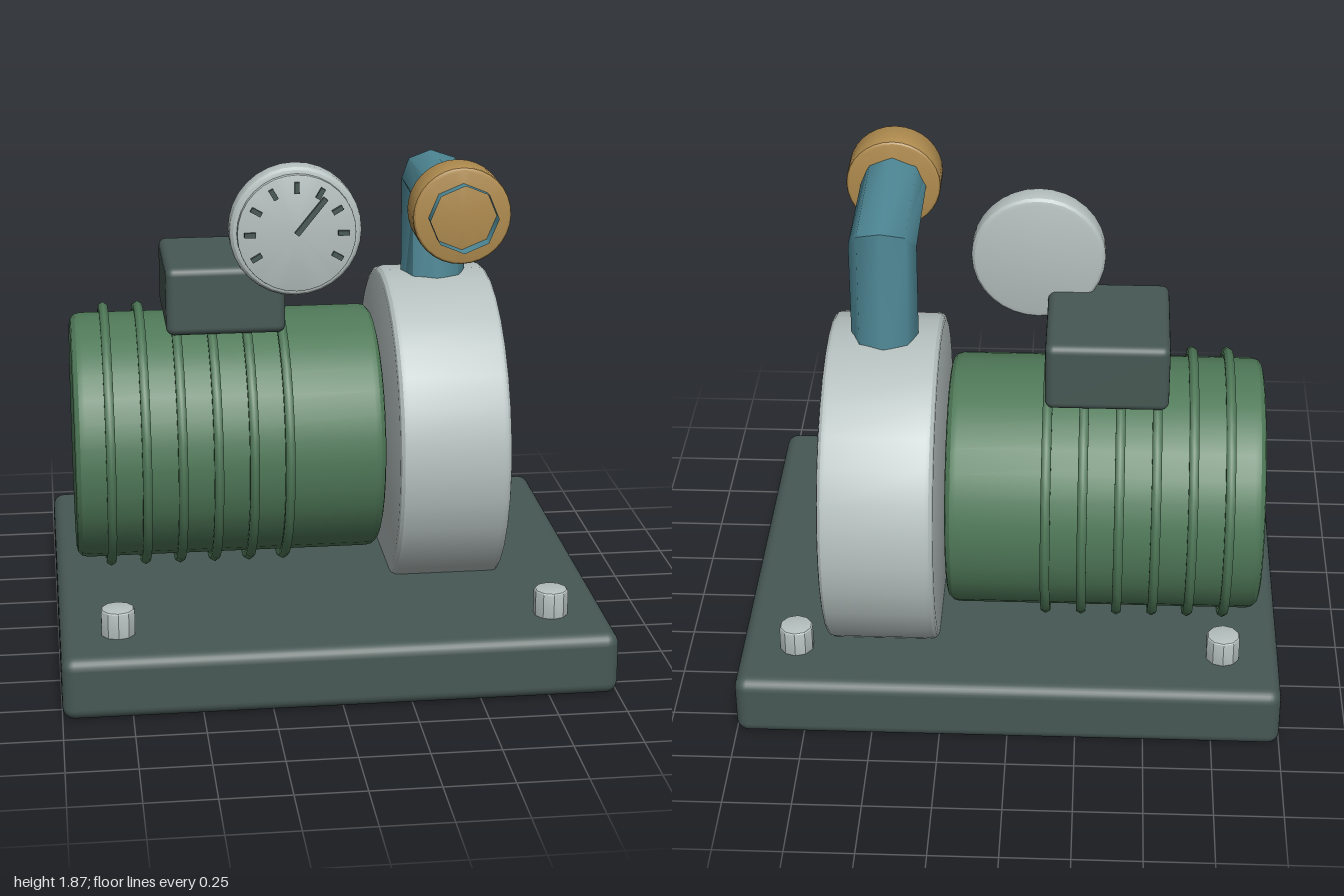
import * as THREE from 'three';
import { toCreasedNormals } from 'three/addons/utils/BufferGeometryUtils.js';
import { RoundedBoxGeometry } from 'three/addons/geometries/RoundedBoxGeometry.js';

const paint = (name, color, side = THREE.FrontSide) => {
  const m = new THREE.MeshStandardMaterial({ color, side });
  m.name = name;
  return m;
};

// Solid cylinder along y with rounded rims
function drum(r, len, bevel, sides) {
  const h = len / 2, pts = [new THREE.Vector2(0, -h)];
  for (const end of [-1, 1]) {
    for (let i = 0; i <= 3; i++) {
      const a = (end < 0 ? i : 3 - i) * Math.PI / 6;
      pts.push(new THREE.Vector2(r - bevel + bevel * Math.sin(a), end * (h - bevel + bevel * Math.cos(a))));
    }
  }
  pts.push(new THREE.Vector2(0, h));
  return toCreasedNormals(new THREE.LatheGeometry(pts, sides), 0.4);
}

// Eight-sided open pipe with one mitred elbow: rises along y, then runs along +z
function elbowPipe(r, down, forward) {
  const geo = new THREE.CylinderGeometry(r, r, 1, 8, 2, true);
  const p = geo.attributes.position, s = Math.SQRT1_2;
  for (let i = 0; i < p.count; i++) {
    const y = p.getY(i), z = p.getZ(i);
    if (y < -0.25) p.setY(i, -down);
    else if (y < 0.25) p.setXYZ(i, p.getX(i), -z * s, z * s);
    else p.setXYZ(i, p.getX(i), -z, forward);
  }
  return toCreasedNormals(geo, 0.9);
}

export function createModel() {
  const model = new THREE.Group();
  model.name = 'motorPump';
  const slate = paint('slate', 0x475854);
  const green = paint('green', 0x507a59);
  const grey = paint('grey', 0xb6c1bf);
  const teal = paint('teal', 0x4f8997, THREE.DoubleSide);
  const brass = paint('brass', 0xb08c4f);

  const add = (name, geo, mat, x, y, z, parent = model) => {
    const m = new THREE.Mesh(geo, mat);
    m.name = name;
    m.position.set(x, y, z);
    parent.add(m);
    return m;
  };
  const axisY = 0.715, axisZ = -0.185;

  // Base plate and bolts
  add('basePlate', new RoundedBoxGeometry(2, 0.235, 1.73, 3, 0.045), slate, 0, 0.1175, 0);
  const boltGeo = drum(0.063, 0.13, 0.01, 10);
  for (const x of [-0.79, 0.79]) for (const z of [-0.63, 0.63]) add('bolt', boltGeo, grey, x, 0.267, z);

  // Motor with cooling ribs
  add('motorBody', drum(0.47, 1.155, 0.04, 32), green, -0.3425, axisY, axisZ).rotation.z = Math.PI / 2;
  const ribGeo = new THREE.TorusGeometry(0.488, 0.02, 6, 32);
  for (let i = 0; i < 6; i++) {
    add('coolingRib', ribGeo, green, -0.79 + i * 0.132, axisY, axisZ).rotation.y = Math.PI / 2;
  }
  add('junctionBox', new RoundedBoxGeometry(0.445, 0.26, 0.495, 3, 0.03), slate, -0.3425, 1.295, -0.187);

  // Pump housing
  add('pumpHousing', drum(0.617, 0.415, 0.03, 32), grey, 0.4725, axisY, axisZ).rotation.z = Math.PI / 2;

  // Outlet pipe and collar
  add('outletPipe', elbowPipe(0.123, 0.6, 0.685), teal, 0.47, 1.69, axisZ);
  add('outletCollar', drum(0.177, 0.155, 0.016, 32), brass, 0.47, 1.69, 0.37).rotation.x = Math.PI / 2;

  // Pressure gauge facing the front
  const gauge = new THREE.Group();
  gauge.name = 'gauge';
  gauge.position.set(-0.083, 1.558, 0);
  model.add(gauge);
  add('gaugeCase', drum(0.246, 0.105, 0.025, 32), grey, 0, 0, 0.028, gauge).rotation.x = Math.PI / 2;
  add('gaugeDial', drum(0.22, 0.04, 0.005, 32), grey, 0, 0, 0.085, gauge).rotation.x = Math.PI / 2;
  const tickGeo = new THREE.BoxGeometry(0.018, 0.042, 0.015);
  for (let i = -4; i <= 4; i++) {
    const a = i * Math.PI / 6;
    add('dialTick', tickGeo, slate, 0.173 * Math.sin(a), 0.173 * Math.cos(a), 0.111, gauge).rotation.z = -a;
  }
  const needleAngle = 0.68;
  add('needle', new THREE.BoxGeometry(0.02, 0.17, 0.015), slate,
    0.083 * Math.sin(needleAngle), 0.083 * Math.cos(needleAngle), 0.112, gauge).rotation.z = -needleAngle;

  return model;
}
